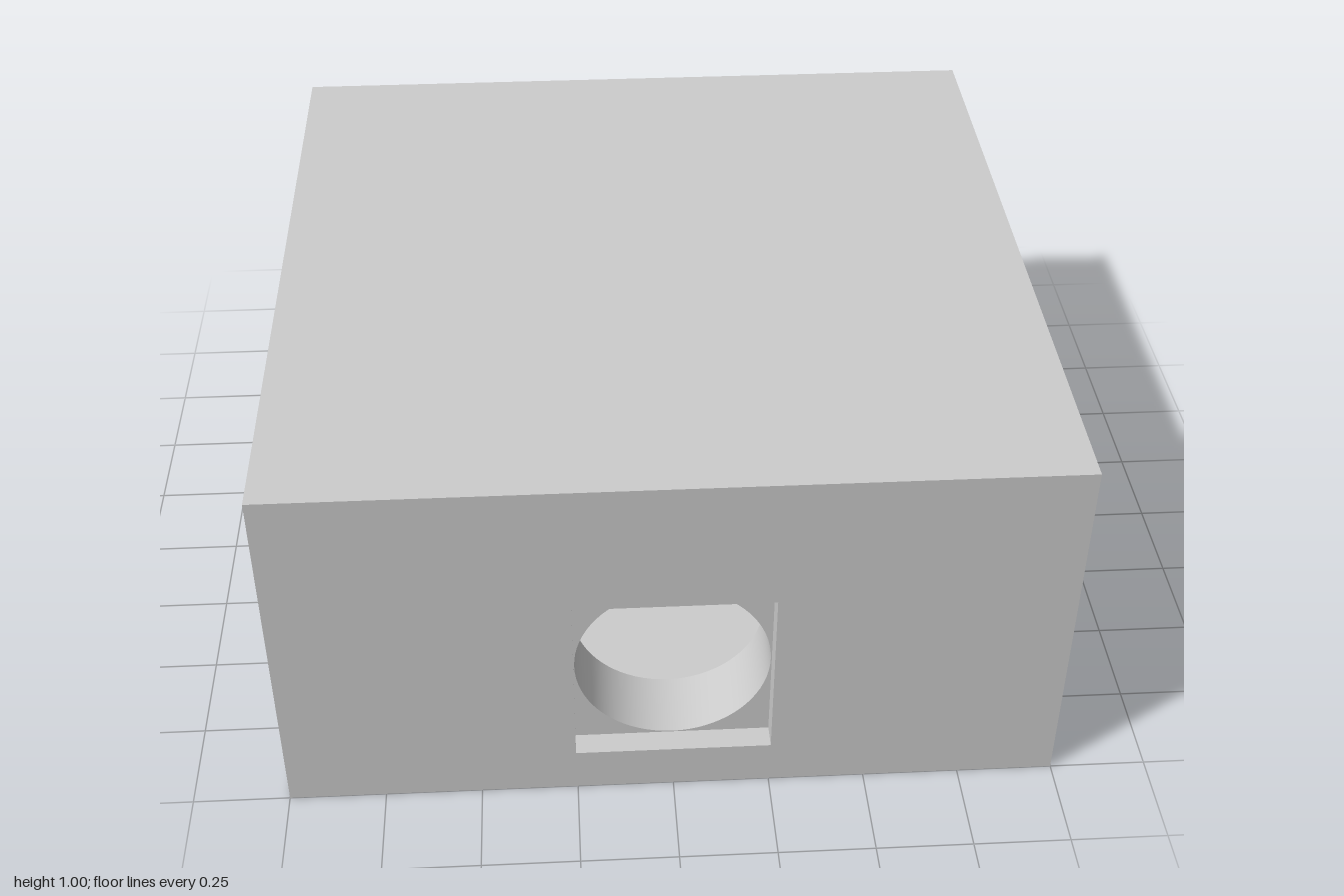
import * as THREE from 'three';
import { toCreasedNormals } from 'three/addons/utils/BufferGeometryUtils.js';

const material = new THREE.MeshStandardMaterial({ color: 0xcccccc, side: THREE.DoubleSide });
const CENTRE = 0.377, RADIUS = 0.25, HALF = 0.2525; // opening height and sizes
const OUTER = 1, PLATE = 0.9375, INNER = 0.75;      // depths through a wall
const FLOOR = 0.125, CEILING = 0.75;                // cavity heights

// Corners of a rectangle, counter-clockwise
function rectangle(x, y0, y1) {
  return [[-x, y0], [x, y0], [x, y1], [-x, y1]].map(p => new THREE.Vector2(...p));
}

// Round opening, flattened where it would run past the square recess
function bore(offset) {
  const points = [];
  for (let i = 0; i < 72; i++) {
    const a = (i / 72) * Math.PI * 2;
    points.push(new THREE.Vector2(
      Math.min(offset + RADIUS * Math.cos(a), RADIUS), CENTRE + RADIUS * Math.sin(a)));
  }
  return points;
}

function add(group, name, geometry) {
  const mesh = new THREE.Mesh(geometry, material);
  mesh.name = name;
  group.add(mesh);
  return mesh;
}

// Flat panel with an opening
function panel(outline, hole, z) {
  const shape = new THREE.Shape(outline);
  shape.holes.push(new THREE.Path(hole));
  return new THREE.ShapeGeometry(shape).translate(0, 0, z);
}

// Lining that faces into an opening, from depth z0 inward to z1
function lining(points, z0, z1) {
  const position = [];
  points.forEach((a, i) => {
    const b = points[(i + 1) % points.length];
    position.push(a.x, a.y, z0, b.x, b.y, z0, b.x, b.y, z1,
      a.x, a.y, z0, b.x, b.y, z1, a.x, a.y, z1);
  });
  const geometry = new THREE.BufferGeometry();
  geometry.setAttribute('position', new THREE.Float32BufferAttribute(position, 3));
  geometry.computeVertexNormals();
  return toCreasedNormals(geometry, Math.PI / 6);
}

// One wall: outer face, square recess, round bore and cavity face
function wall(name, turn, offset) {
  const group = new THREE.Group();
  group.name = name;
  const square = rectangle(HALF, CENTRE - HALF, CENTRE + HALF);
  const round = bore(offset);
  add(group, 'outerFace', panel(rectangle(1, 0, 1), square, OUTER));
  add(group, 'recessSides', lining(square, OUTER, PLATE));
  add(group, 'recessPlate', panel(square, round, PLATE));
  add(group, 'bore', lining(round, PLATE, INNER));
  add(group, 'cavityFace', panel(rectangle(INNER, FLOOR, CEILING), round, INNER));
  group.rotation.y = turn;
  return group;
}

export function createModel() {
  const model = new THREE.Group();
  model.name = 'hollowBlock';

  // Four walls; the opening in the -x wall sits slightly off centre
  model.add(
    wall('frontWall', 0, 0),
    wall('leftWall', Math.PI / 2, 0),
    wall('backWall', Math.PI, 0),
    wall('rightWall', -Math.PI / 2, 0.0625));

  // Horizontal faces: name, size, height, facing up or down
  for (const [name, size, y, up] of [
    ['top', 2, 1, 1], ['base', 2, 0, -1],
    ['cavityFloor', INNER * 2, FLOOR, 1], ['cavityCeiling', INNER * 2, CEILING, -1],
  ]) {
    add(model, name, new THREE.PlaneGeometry(size, size)
      .rotateX(-up * Math.PI / 2).translate(0, y, 0));
  }
  return model;
}
